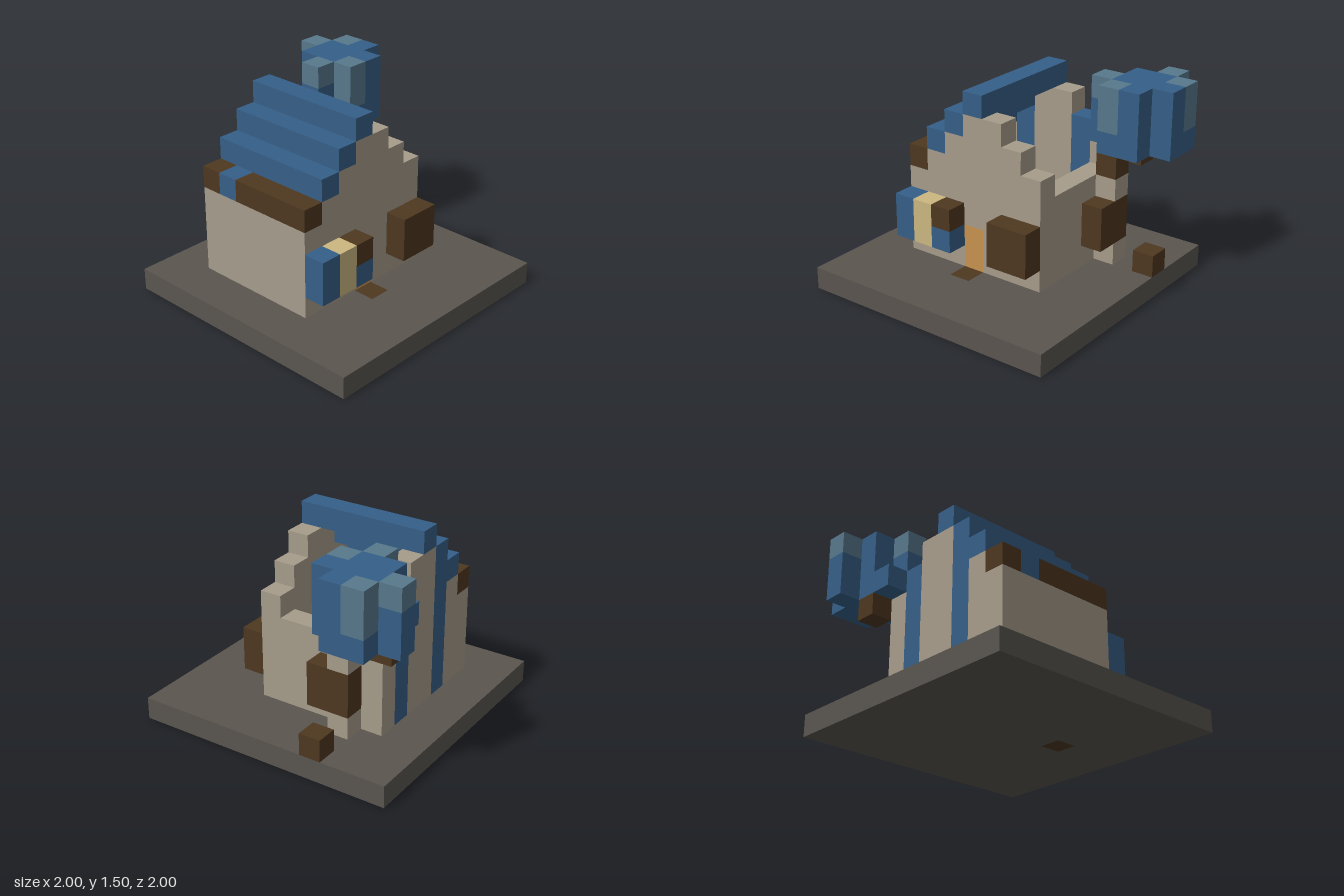
import * as THREE from 'three';

const U = 1 / 6; // one block

const paint = (name, color) => {
  const m = new THREE.MeshStandardMaterial({ color });
  m.name = name;
  return m;
};

export function createModel() {
  const stone = paint('dark stone', 0x5a554f);
  const plaster = paint('plaster', 0xa69c8b);
  const blue = paint('blue', 0x355f88);
  const paleBlue = paint('pale blue', 0x57788b);
  const wood = paint('dark wood', 0x4e3820);
  const cream = paint('cream', 0xcbb780);
  const orange = paint('orange', 0xc8924f);

  const model = new THREE.Group();
  model.name = 'blockHouse';
  const group = (name) => {
    const g = new THREE.Group();
    g.name = name;
    model.add(g);
    return g;
  };

  // A box given by its limits in blocks
  const block = (parent, name, mat, [x0, x1], [y0, y1], [z0, z1]) => {
    const geo = new THREE.BoxGeometry((x1 - x0) * U, (y1 - y0) * U, (z1 - z0) * U);
    geo.translate((x0 + x1) / 2 * U, (y0 + y1) / 2 * U, (z0 + z1) / 2 * U);
    const mesh = new THREE.Mesh(geo, mat);
    mesh.name = name;
    parent.add(mesh);
  };

  // Ground slab with a square opening for the doorstep
  const rect = (S, x0, x1, y0, y1) => new S([[x0, y0], [x1, y0], [x1, y1], [x0, y1]]
    .map(([x, y]) => new THREE.Vector2(x * U, y * U)));
  const slab = rect(THREE.Shape, -6, 6, -6, 6);
  slab.holes.push(rect(THREE.Path, -1, 0, -3, -2));
  const slabGeo = new THREE.ExtrudeGeometry(slab, { depth: U, bevelEnabled: false });
  slabGeo.rotateX(-Math.PI / 2);
  const ground = new THREE.Mesh(slabGeo, stone);
  ground.name = 'ground';
  model.add(ground);
  block(model, 'doorstep', wood, [-1, 0], [0, 1], [2, 3]);

  // Stepped gable walls, one column per block of width
  const walls = group('walls');
  const heights = [5, 6, 7, 8, 8, 7, 6];
  heights.forEach((h, i) => {
    const x = [i - 4, i - 3];
    const isDoor = i === 3;
    block(walls, 'frontWall', plaster, x, [isDoor ? 3 : 1, h], [1, 2]);
    block(walls, 'backWall', i === 2 || i === 5 ? blue : plaster, x, [1, h], [-4, -3]);
  });
  block(walls, 'door', orange, [-1, 0], [1, 3], [1, 2]);
  block(walls, 'leftSideWall', plaster, [-4, -3], [1, 5], [-3, 1]);
  block(walls, 'rightSideWall', plaster, [2, 3], [1, 5], [-3, 1]);

  // Half roof rising in steps from the eave
  const roof = group('roof');
  block(roof, 'eave', wood, [-4, -3], [5, 6], [-2, 2]);
  block(roof, 'eavePatch', blue, [-4, -3], [5, 6], [-3, -2]);
  block(roof, 'eaveEnd', wood, [-4, -3], [5, 6], [-4, -3]);
  for (let i = 0; i < 3; i++) {
    block(roof, 'roofStep', blue, [i - 3, i - 2], [i + 6, i + 7], [-4, 2]);
  }

  // Projecting window boxes
  const windows = group('windows');
  block(windows, 'blueShutter', blue, [-4, -3], [2, 4], [2, 3]);
  block(windows, 'creamPane', cream, [-3, -2], [2, 4], [2, 3]);
  block(windows, 'lowerShutter', blue, [-2, -1], [2, 3], [2, 3]);
  block(windows, 'upperShutter', wood, [-2, -1], [3, 4], [2, 3]);
  block(windows, 'frontBox', wood, [1, 3], [2, 4], [2, 3]);
  block(windows, 'sideBox', wood, [3, 4], [2, 4], [-3, -1]);

  // Pillar beside the house, and loose wood blocks
  const pillar = group('pillar');
  block(pillar, 'pillarFoot', plaster, [3, 4], [1, 2], [-3, -2]);
  block(pillar, 'pillarHead', plaster, [3, 4], [4, 5], [-3, -2]);
  block(pillar, 'branch', wood, [3, 4], [5, 6], [-3, -2]);
  block(pillar, 'branch', wood, [3, 4], [5, 6], [-5, -4]);
  block(model, 'log', wood, [5, 6], [1, 2], [-3, -2]);

  // Tree crown
  const crown = group('crown');
  block(crown, 'lowLeaf', blue, [2, 3], [6, 7], [-5, -4]);
  block(crown, 'core', blue, [3, 5], [6, 9], [-5, -3]);
  block(crown, 'sideLeaf', blue, [5, 6], [6, 9], [-4, -3]);
  block(crown, 'frontLeaf', blue, [4, 5], [6, 9], [-3, -2]);
  // x, z and the level where the pale tip starts
  for (const [x, z, y] of [[2, -4, 8], [3, -3, 7], [5, -5, 7], [4, -6, 8]]) {
    block(crown, 'leafBase', blue, [x, x + 1], [6, y], [z, z + 1]);
    block(crown, 'leafTip', paleBlue, [x, x + 1], [y, 9], [z, z + 1]);
  }
  return model;
}
